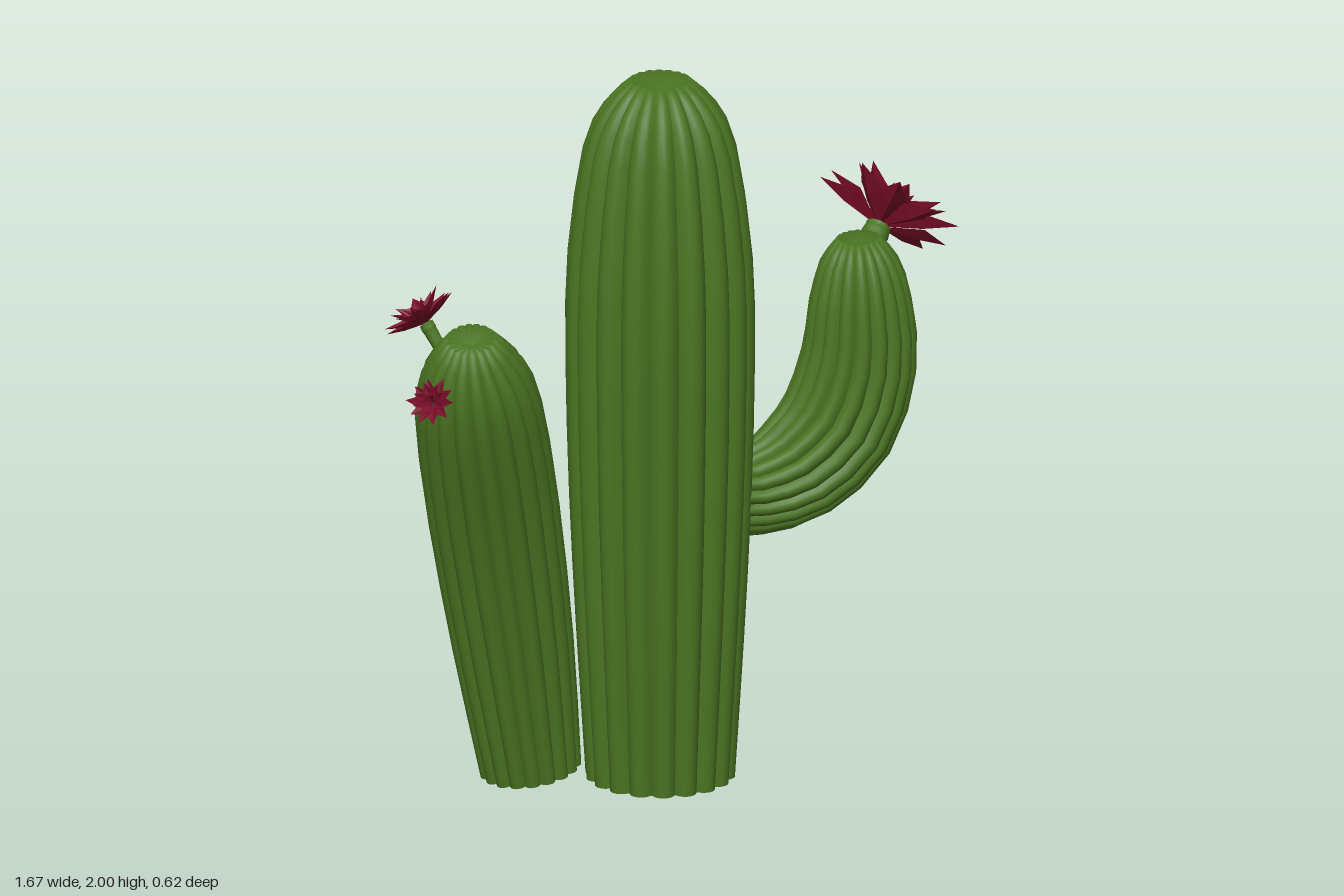
import * as THREE from 'three';
import { mergeGeometries } from 'three/addons/utils/BufferGeometryUtils.js';

const mat = (name, color, extra = {}) => {
  const m = new THREE.MeshStandardMaterial({ color, ...extra });
  m.name = name;
  return m;
};

// Ribbed column swept through stations [x, y, z, radius]; each rib has its own
// vertices so grooves stay crisp while the ribs are smooth.
function ribbedColumn(name, stations, ribs, dimple, skin, underside) {
  const path = new THREE.CatmullRomCurve3(
    stations.map(s => new THREE.Vector3(s[0], s[1], s[2])), false, 'catmullrom', 0.5);
  const radii = new THREE.CatmullRomCurve3(
    stations.map((s, i) => new THREE.Vector3(i, s[3], 0)), false, 'catmullrom', 0.5);
  const rings = [];
  const steps = (stations.length - 1) * 2;
  for (let i = 0; i <= steps; i++) {
    const t = path.getTangent(i / steps);
    const u = new THREE.Vector3(0, 0, 1);
    u.addScaledVector(t, -u.dot(t)).normalize();
    rings.push({ c: path.getPoint(i / steps), r: radii.getPoint(i / steps).y, t, u, v: t.clone().cross(u) });
  }
  // sunken crown
  const end = rings[steps];
  rings.push({ ...end, c: end.c.clone().addScaledVector(end.t, -dimple), r: 0 });

  const seg = 6;
  const point = (ring, rib, k) => {
    const a = (rib + k / seg) / ribs * Math.PI * 2;
    const bulge = Math.pow(Math.max(0, Math.sin(Math.PI * k / seg)), 0.7);
    const r = ring.r * (0.89 + 0.11 * bulge);
    return ring.c.clone().addScaledVector(ring.u, r * Math.cos(a)).addScaledVector(ring.v, r * Math.sin(a));
  };
  const strips = [], base = [];
  for (let rib = 0; rib < ribs; rib++) {
    const pos = [], index = [];
    rings.forEach((ring, i) => {
      for (let k = 0; k <= seg; k++) {
        pos.push(...point(ring, rib, k).toArray());
        if (i < rings.length - 1 && k < seg) {
          const a = i * (seg + 1) + k, b = a + 1, c = a + seg + 1, d = c + 1;
          index.push(a, b, c, b, d, c);
        }
      }
    });
    const g = new THREE.BufferGeometry();
    g.setAttribute('position', new THREE.Float32BufferAttribute(pos, 3));
    g.setIndex(index);
    g.computeVertexNormals();
    strips.push(g);
    for (let k = 0; k < seg; k++) {
      base.push(...rings[0].c.toArray(), ...point(rings[0], rib, k + 1).toArray(), ...point(rings[0], rib, k).toArray());
    }
  }
  const cap = new THREE.BufferGeometry();
  cap.setAttribute('position', new THREE.Float32BufferAttribute(base, 3));
  cap.computeVertexNormals();

  const group = new THREE.Group();
  group.name = name;
  const body = new THREE.Mesh(mergeGeometries(strips), skin);
  body.name = name + 'Ribs';
  const bottom = new THREE.Mesh(cap, underside);
  bottom.name = name + 'Underside';
  group.add(body, bottom);
  return group;
}

// Pointed, slightly cupped petal reaching along +z
function petalGeometry(length, width) {
  const root = [0, 0, 0], mid = [0, 0, 0.55 * length], tip = [0, 0.06 * length, length];
  const left = [-width, 0.12 * length, 0.58 * length], right = [width, 0.12 * length, 0.58 * length];
  const g = new THREE.BufferGeometry();
  g.setAttribute('position', new THREE.Float32BufferAttribute(
    [root, mid, left, mid, tip, left, root, right, mid, mid, right, tip].flat(), 3));
  g.computeVertexNormals();
  return g;
}

// Flower with layered petals and a stem running back to the cactus skin
function flower(name, base, normal, size, root, petalMat, skin) {
  const group = new THREE.Group();
  group.name = name;
  const c = new THREE.Vector3(...base), from = new THREE.Vector3(...root);
  const up = new THREE.Vector3(0, 1, 0);

  const layers = [[10, 16, 1, 0.19, 0], [8, 36, 0.88, 0.17, 0.4], [5, 60, 0.6, 0.14, 0.2]];
  const petals = [];
  for (const [count, lift, len, width, turn] of layers) {
    for (let i = 0; i < count; i++) {
      const g = petalGeometry(size * len * (1 + 0.06 * Math.sin(i * 2.4)), size * width);
      g.rotateX(-THREE.MathUtils.degToRad(lift + 5 * Math.sin(i * 1.7)));
      g.rotateY((i + turn) / count * Math.PI * 2);
      petals.push(g);
    }
  }
  const bloom = new THREE.Mesh(mergeGeometries(petals), petalMat);
  bloom.name = name + 'Petals';
  bloom.position.copy(c);
  bloom.quaternion.setFromUnitVectors(up, new THREE.Vector3(...normal).normalize());

  const dir = c.clone().sub(from);
  const stem = new THREE.Mesh(
    new THREE.CylinderGeometry(size * 0.17, size * 0.13, dir.length(), 10), skin);
  stem.name = name + 'Stem';
  stem.position.copy(c).add(from).multiplyScalar(0.5);
  stem.quaternion.setFromUnitVectors(up, dir.normalize());

  const bulb = new THREE.Mesh(new THREE.SphereGeometry(size * 0.18, 10, 8), skin);
  bulb.name = name + 'Bulb';
  bulb.position.copy(c).addScaledVector(dir, -size * 0.12);
  group.add(bloom, stem, bulb);
  return group;
}

export function createModel() {
  const skin = mat('cactusGreen', 0x4b7522);
  const underside = mat('undersideBlack', 0x111111);
  const red = mat('petalRed', 0x7a0d28, { side: THREE.DoubleSide });

  const model = new THREE.Group();
  model.name = 'floweringCactus';

  const X = -0.037, Z = 0.033;
  model.add(
    ribbedColumn('trunk', [
      [X, 0, Z, 0.205], [X, 0.4, Z, 0.23], [X, 0.8, Z, 0.25], [X, 1.2, Z, 0.26],
      [X, 1.5, Z, 0.254], [X, 1.8, Z, 0.212], [X, 1.93, Z, 0.155], [X, 2.0, Z, 0.085],
    ], 18, 0.03, skin, underside),
    ribbedColumn('leaningColumn', [
      [-0.335, 0.02, -0.155, 0.14], [-0.395, 0.4, -0.152, 0.168], [-0.475, 0.8, -0.125, 0.183],
      [-0.555, 1.1, -0.07, 0.177], [-0.598, 1.25, -0.035, 0.142], [-0.622, 1.35, -0.01, 0.07],
    ], 18, 0.02, skin, underside),
    ribbedColumn('bentArm', [
      [0.1, 0.79, 0.07, 0.115], [0.22, 0.785, 0.09, 0.125], [0.35, 0.83, 0.115, 0.15],
      [0.47, 0.945, 0.137, 0.164], [0.53, 1.12, 0.15, 0.16], [0.533, 1.29, 0.155, 0.142],
      [0.528, 1.41, 0.155, 0.108], [0.525, 1.475, 0.155, 0.06],
    ], 18, 0.02, skin, underside),
    flower('largeFlower', [0.635, 1.465, 0.085], [0.7, 0.7, -0.2], 0.215, [0.56, 1.4, 0.13], red, skin),
    flower('mediumFlower', [-0.66, 1.355, -0.175], [-0.35, 0.82, -0.36], 0.118, [-0.62, 1.24, -0.11], red, skin),
    flower('smallFlower', [-0.78, 1.21, 0.05], [-0.65, 0.55, 0.4], 0.074, [-0.69, 1.19, -0.01], red, skin),
  );
  return model;
}
